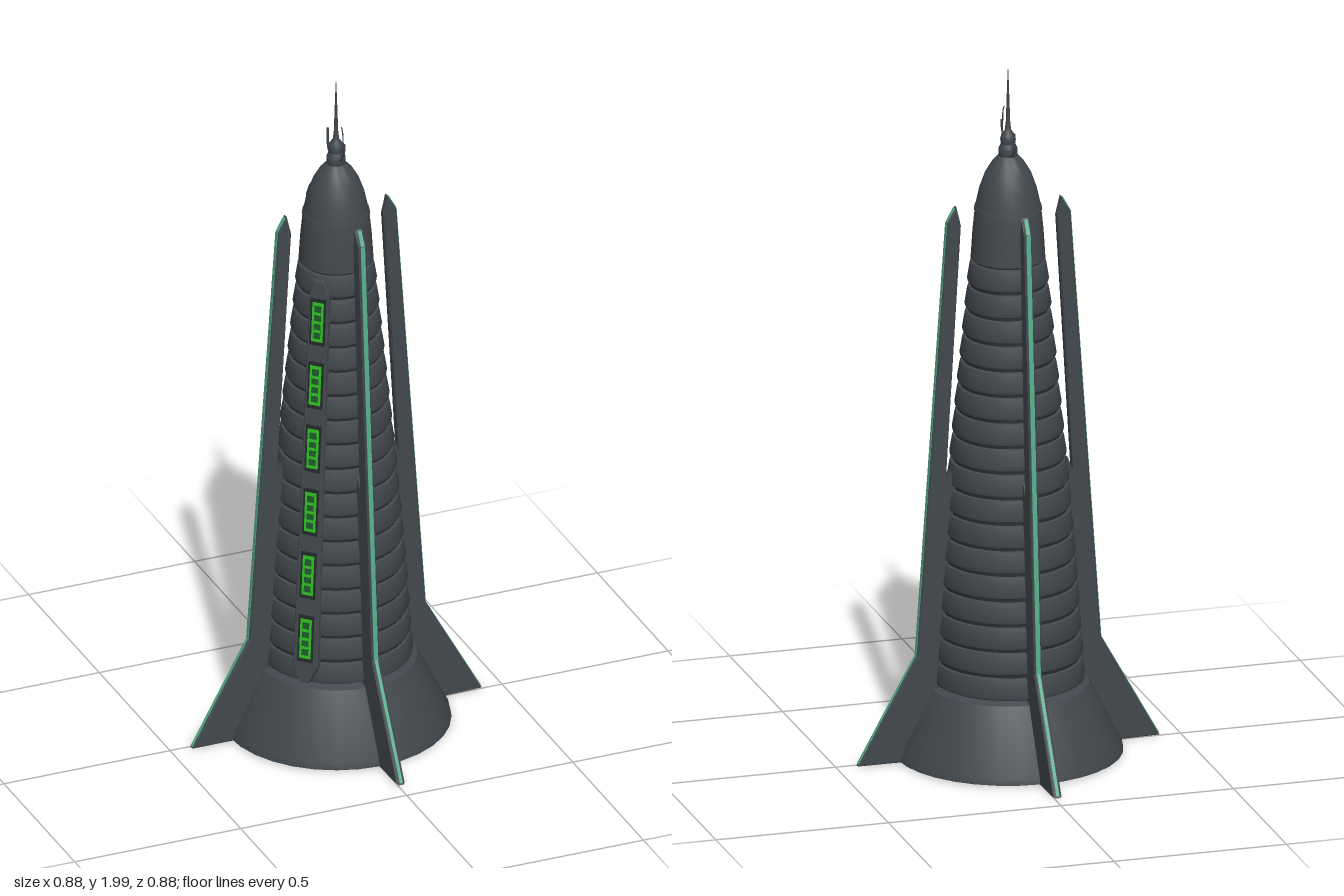
import * as THREE from 'three';
import { toCreasedNormals } from 'three/addons/utils/BufferGeometryUtils.js';

const material = (name, color, side = THREE.FrontSide) => {
  const m = new THREE.MeshStandardMaterial({ color, side });
  m.name = name;
  return m;
};

export function createModel() {
  const model = new THREE.Group();
  const hull = material('slate hull', 0x42484d, THREE.DoubleSide);
  const dark = material('dark recess', 0x25292c);
  const teal = material('teal trim', 0x56ad8c);
  const green = material('bright green', 0x2fc022);
  const darkGreen = material('dark green', 0x1f5a2c);

  const add = (parent, name, geometry, mat) => {
    const mesh = new THREE.Mesh(geometry, mat);
    mesh.name = name;
    parent.add(mesh);
    return mesh;
  };
  const lathe = (points, segments = 32) => toCreasedNormals(
    new THREE.LatheGeometry(points.map(([r, y]) => new THREE.Vector2(r, y)), segments), 0.55);
  const tube = (points, radius) => new THREE.TubeGeometry(
    new THREE.CatmullRomCurve3(points.map(([y, z]) => new THREE.Vector3(0, y, z))), 14, radius, 6);

  // Radius of the tapering body at a given height
  const taper = [[0.2, 0.212], [0.5, 0.192], [0.8, 0.167], [1.2, 0.128], [1.46, 0.103]];
  const radiusAt = (y) => {
    for (let i = 1; i < taper.length; i++) {
      const [y0, r0] = taper[i - 1], [y1, r1] = taper[i];
      if (y <= y1) return r0 + (r1 - r0) * (y - y0) / (y1 - y0);
    }
    return 0.103;
  };

  // Hollow engine skirt with a dark floor above it
  add(model, 'skirt', lathe([[0.314, 0.01], [0.32, 0.012], [0.317, 0.03], [0.226, 0.212], [0.2, 0.222]]), hull);
  const floor = add(model, 'skirtCeiling', new THREE.CircleGeometry(0.21, 32), dark);
  floor.rotation.x = Math.PI / 2;
  floor.position.y = 0.21;

  // Dark core that shows in the grooves between the rings
  add(model, 'core', lathe(taper.map(([y, r]) => [r - 0.007, y])), dark);

  // Stacked, slightly bulging hull rings
  const count = 17, start = 0.218, step = 0.0725;
  for (let i = 0; i < count; i++) {
    const a = start + i * step + 0.003, b = a + step - 0.007;
    const ra = radiusAt(a), rb = radiusAt(b);
    add(model, 'hullRing', lathe([
      [ra - 0.009, a], [ra + 0.001, a + 0.004], [ra + 0.003, a + 0.012],
      [rb + 0.003, b - 0.014], [rb, b - 0.003], [rb - 0.009, b],
    ]), hull);
  }

  // Nose with its collar, bulb and mast
  add(model, 'nose', lathe([
    [0.09, 1.45], [0.104, 1.453], [0.099, 1.53], [0.092, 1.6], [0.08, 1.655], [0.064, 1.7],
    [0.046, 1.73], [0.028, 1.75], [0, 1.755],
  ]), hull);
  add(model, 'noseBand', lathe([[0.088, 1.592], [0.095, 1.594], [0.093, 1.604], [0.085, 1.606]]), hull);
  add(model, 'noseBulb', lathe([
    [0.02, 1.735], [0.026, 1.75], [0.027, 1.77], [0.02, 1.785], [0.022, 1.797],
    [0.019, 1.81], [0.009, 1.824], [0.006, 1.85], [0.0045, 1.9], [0.001, 2],
  ], 16), hull);

  // Small aerials in front of and behind the mast
  add(model, 'rearAerial', tube([[1.755, -0.015], [1.762, -0.045], [1.785, -0.057], [1.83, -0.058]], 0.004), hull);
  add(model, 'frontAerial', tube([[1.765, 0.015], [1.772, 0.034], [1.79, 0.045], [1.81, 0.058], [1.835, 0.06]], 0.003), hull);
  add(model, 'frontAerialTip', tube([[1.805, 0.055], [1.84, 0.05], [1.865, 0.047], [1.88, 0.038]], 0.0018), hull);

  // Four long fins, each with trim along the outer edge
  const outline = [
    [0.435, 0.012], [0.265, 0.315], [0.176, 1.57], [0.154, 1.61], [0.144, 1.56],
    [0.186, 0.81], [0.172, 0.845], [0.155, 0.8], [0.195, 0.215], [0.298, 0.012],
  ];
  const finShape = new THREE.Shape(outline.map(([r, y]) => new THREE.Vector2(r, y)));
  const finGeometry = new THREE.ExtrudeGeometry(finShape, {
    depth: 0.014, bevelEnabled: true, bevelThickness: 0.005, bevelSize: 0.004, bevelSegments: 1,
  });
  finGeometry.translate(0, 0, -0.007);
  const trim = [
    [outline[0], outline[1], 0.009],
    [outline[1], outline[2], 0.013],
    [outline[2], outline[3], 0.011],
  ];
  for (let i = 0; i < 4; i++) {
    const fin = new THREE.Group();
    fin.name = 'fin';
    fin.rotation.y = i * Math.PI / 2 + 0.022;
    add(fin, 'finBlade', finGeometry, hull);
    for (const [[r0, y0], [r1, y1], width] of trim) {
      const dx = r1 - r0, dy = y1 - y0, length = Math.hypot(dx, dy);
      const strip = add(fin, 'finTrim', new THREE.BoxGeometry(0.006, length, width), teal);
      strip.position.set((r0 + r1) / 2 + dy / length * 0.0025, (y0 + y1) / 2 - dx / length * 0.0025, 0);
      strip.rotation.z = Math.atan2(-dx, dy);
    }
    model.add(fin);
  }

  // Window rail leaning along the hull, on the front right
  const rail = new THREE.Group();
  rail.name = 'windowRail';
  rail.rotation.y = -0.8;
  const lean = new THREE.Group();
  lean.name = 'railLean';
  lean.position.set(0, 0.23, 0.207);
  lean.rotation.x = -0.09;
  rail.add(lean);
  model.add(rail);
  const railShape = new THREE.Shape([
    [-0.012, 0], [0.012, 0], [0.034, 0.045], [0.026, 1.17], [0.012, 1.205],
    [-0.012, 1.205], [-0.026, 1.17], [-0.034, 0.045],
  ].map(([x, y]) => new THREE.Vector2(x, y)));
  add(lean, 'railBody', new THREE.ExtrudeGeometry(railShape, {
    depth: 0.025, bevelEnabled: true, bevelThickness: 0.004, bevelSize: 0.003, bevelSegments: 1,
  }), hull).position.z = -0.008;
  for (let i = 0; i < 6; i++) {
    const y = 0.13 + i * 0.191;
    const box = (name, w, h, d, z, mat) =>
      add(lean, name, new THREE.BoxGeometry(w, h, d), mat).position.set(0, y, z);
    box('windowRecess', 0.046, 0.14, 0.004, 0.0205, dark);
    box('windowFrame', 0.034, 0.118, 0.004, 0.022, green);
    box('windowPane', 0.02, 0.098, 0.004, 0.0235, darkGreen);
    for (const side of [-1, 0, 1]) {
      add(lean, 'windowBar', new THREE.BoxGeometry(0.02, 0.008, 0.004), green)
        .position.set(0, y + side * 0.026, 0.0245);
    }
  }
  return model;
}
